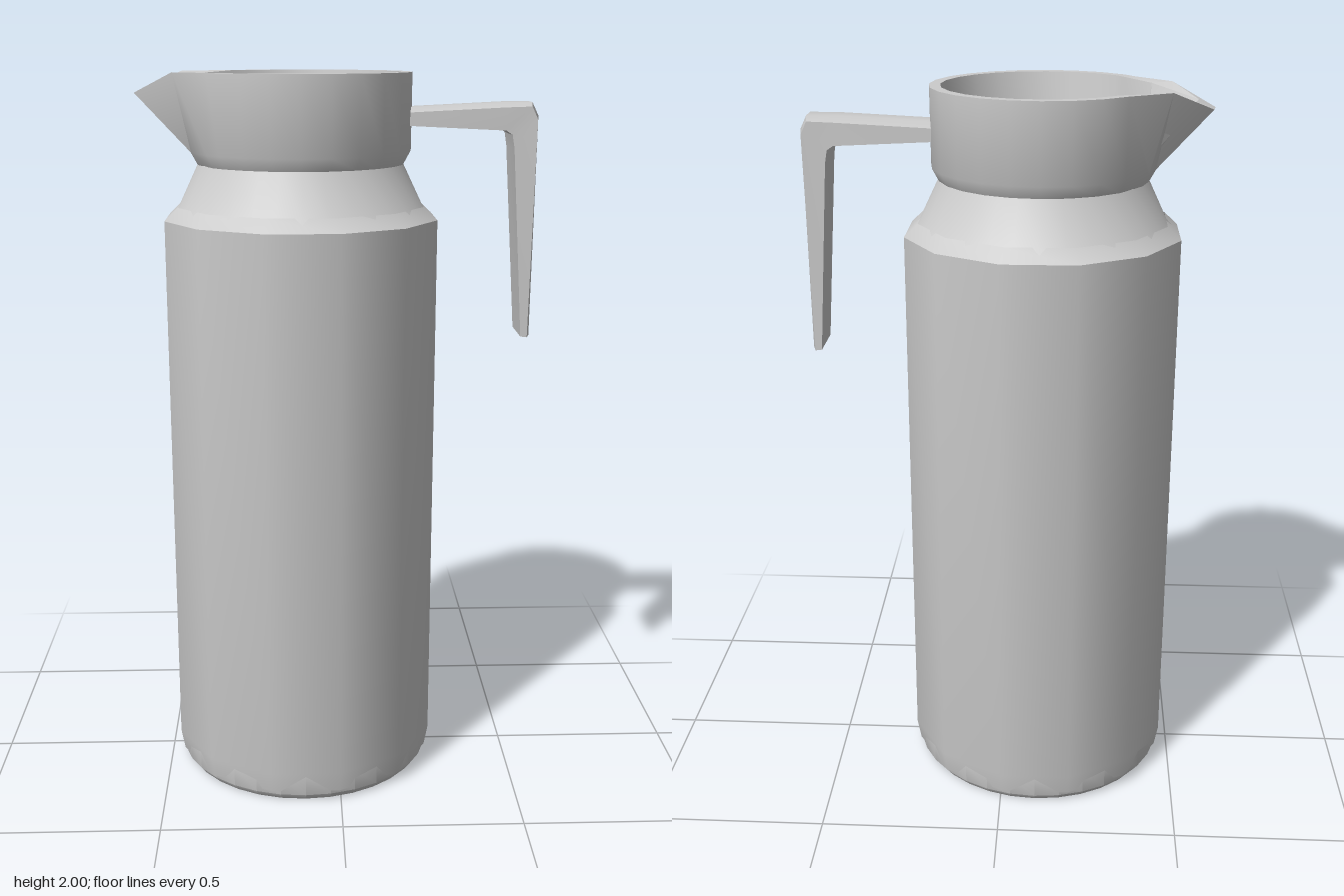
import * as THREE from 'three';
import { toCreasedNormals } from 'three/addons/utils/BufferGeometryUtils.js';

const CX = -0.1; // axis of the bottle

// Skin closed rings of equal length; each ring is a list of [x, y, z]
function loft(rings, crease) {
  const n = rings[0].length, index = [];
  for (let i = 0; i < rings.length - 1; i++) {
    for (let j = 0; j < n; j++) {
      const k = (j + 1) % n;
      const a = i * n + j, b = i * n + k, c = b + n, d = a + n;
      index.push(a, d, c, a, c, b);
    }
  }
  const g = new THREE.BufferGeometry();
  g.setAttribute('position', new THREE.Float32BufferAttribute(rings.flat(2), 3));
  g.setIndex(index);
  return toCreasedNormals(g, crease);
}

export function createModel() {
  const group = new THREE.Group();
  const material = new THREE.MeshStandardMaterial({ color: 0xcccccc, side: THREE.DoubleSide });
  const add = (name, geometry) => {
    const mesh = new THREE.Mesh(geometry, material);
    mesh.name = name;
    group.add(mesh);
    return mesh;
  };
  const lathe = (profile, sides, start) => toCreasedNormals(
    new THREE.LatheGeometry(profile.map(p => new THREE.Vector2(...p)), sides, start), 0.65
  ).translate(CX, 0, 0);

  // Round bottle with base, shoulder and neck
  add('bottle', lathe([
    [0, 0], [0.35, 0], [0.366, 0.02], [0.368, 0.08], [0.368, 1.61],
    [0.335, 1.645], [0.28, 1.76], [0, 1.77],
  ], 32, 0));

  // Twelve-sided sleeve around the bottle
  add('sleeve', lathe([
    [0.372, 0.03], [0.383, 0.09], [0.383, 1.61], [0.345, 1.645],
  ], 12, Math.PI / 12));

  // Collar: regular columns around the circle, then the spout's own columns
  const columns = [];
  for (let i = 0; i <= 18; i++) {
    const a = THREE.MathUtils.degToRad(-135 + i * 15);
    const at = r => [CX + r * Math.cos(a), r * Math.sin(a)];
    columns.push({ a, outer: at(0.305), inner: at(0.275), floor: 0.245, yo: 2, yi: 2 });
  }
  const spout = [
    // outer x, z, outer y, inner x, z, inner y, floor radius
    [-0.345, 0.175, 2, -0.31, 0.17, 2, 0.25],
    [-0.44, 0.08, 2, -0.385, 0.085, 1.995, 0.265],
    [-0.55, 0, 1.945, -0.505, 0, 1.965, 0.27],
    [-0.54, -0.08, 1.95, -0.5, -0.08, 1.967, 0.265],
    [-0.43, -0.147, 2, -0.36, -0.155, 1.995, 0.255],
  ];
  for (const [x, z, yo, ix, iz, yi, floor] of spout) {
    columns.push({ a: Math.atan2(z, x - CX), outer: [x, z], inner: [ix, iz], floor, yo, yi });
  }
  const circle = (r, y) => columns.map(c => [CX + r * Math.cos(c.a), y, r * Math.sin(c.a)]);
  add('collar', loft([
    circle(0.26, 1.757),
    circle(0.285, 1.757),
    circle(0.303, 1.79),
    columns.map(c => [c.outer[0], c.yo, c.outer[1]]),
    columns.map(c => [c.inner[0], c.yi, c.inner[1]]),
    columns.map(c => [CX + c.floor * Math.cos(c.a), 1.775, c.floor * Math.sin(c.a)]),
    circle(0, 1.775),
  ], 0.65));

  // Handle: cross-sections with an inner edge, a crowned outer edge and a half width
  const sections = [
    [0.19, 1.86, 0.19, 1.907, 0.076],
    [0.455, 1.847, 0.455, 1.92, 0.075],
    [0.472, 1.835, 0.53, 1.92, 0.073],
    [0.478, 1.8, 0.547, 1.885, 0.074],
    [0.513, 1.28, 0.543, 1.276, 0.07],
  ];
  const rings = sections.map(([ix, iy, ox, oy, w]) => {
    const t = 0.012 / Math.hypot(ox - ix, oy - iy);
    const ex = ox + (ix - ox) * t, ey = oy + (iy - oy) * t;
    return [[ix, iy, -w], [ix, iy, w], [ex, ey, w], [ox, oy, w * 0.4], [ox, oy, -w * 0.4], [ex, ey, -w]];
  });
  const cap = ([ix, iy, ox, oy]) => Array(6).fill([(ix + ox) / 2, (iy + oy) / 2, 0]);
  add('handle', loft([cap(sections[0]), ...rings, cap(sections.at(-1))], 0.6));

  return group;
}
